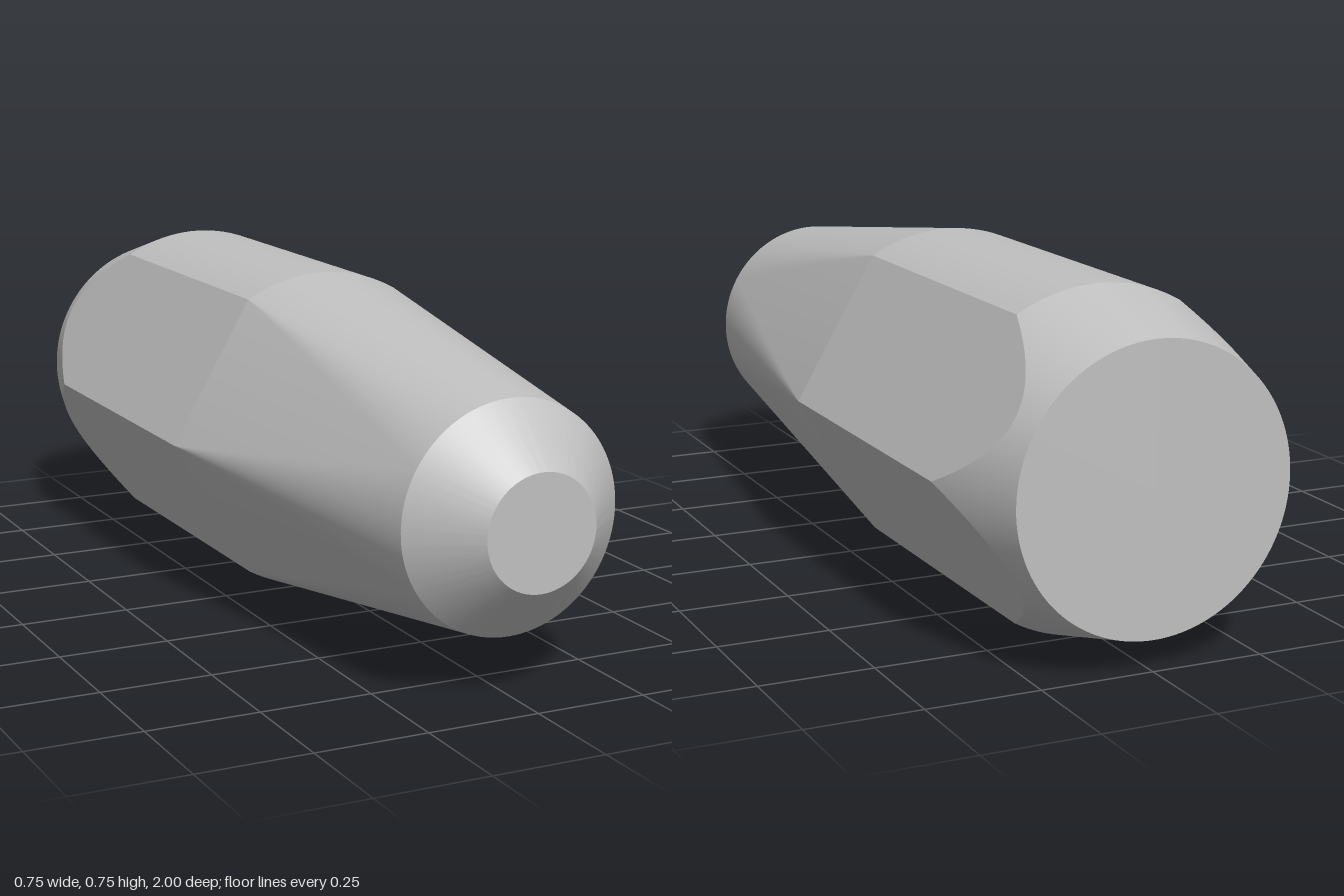
import * as THREE from 'three';
import { toCreasedNormals } from 'three/addons/utils/BufferGeometryUtils.js';

const STEP = 3;                       // degrees between section points
const R = 0.375;                      // body radius
const FLAT = R * Math.cos(Math.PI / 6); // distance of the flats from the axis
const TIP_R = 0.25, NOSE_R = 0.125;
const SLOPE = Math.tan(Math.PI / 12); // rear chamfer, 15 degrees
const END_R = R - 0.25 * SLOPE;

const rad = THREE.MathUtils.degToRad;
const polar = (deg, r, z) => new THREE.Vector3(r * Math.cos(rad(deg)), r * Math.sin(rad(deg)), z);
const angles = Array.from({ length: 360 / STEP + 1 }, (_, i) => i * STEP);
const ring = (r, z) => angles.map((a) => polar(a, r, z));

// The top and bottom are round; the four sides are flat chords of 60 degrees.
function bodyRadius(deg) {
  const round = (deg >= 60 && deg <= 120) || (deg >= 240 && deg <= 300);
  return round ? R : FLAT / Math.cos(rad((deg % 60) - 30));
}

// Skin between a front and a back row of points, skipping empty triangles.
function skin(front, back, crease) {
  const pos = [];
  const tri = (a, b, c) => {
    if (a.distanceTo(b) < 1e-6 || b.distanceTo(c) < 1e-6 || a.distanceTo(c) < 1e-6) return;
    for (const p of [a, b, c]) pos.push(p.x, p.y, p.z);
  };
  for (let i = 0; i + 1 < front.length; i++) {
    tri(front[i], back[i], back[i + 1]);
    tri(front[i], back[i + 1], front[i + 1]);
  }
  const geo = new THREE.BufferGeometry();
  geo.setAttribute('position', new THREE.Float32BufferAttribute(pos, 3));
  return toCreasedNormals(geo, crease);
}

// Taper: corners fan out to arcs of the tip, flats narrow to single points on it.
function taperGeometry() {
  const front = [], back = [];
  const corners = [0, 60, 120, 180, 240, 300, 360];
  const add = (tipDeg, bodyDeg) => {
    front.push(polar(tipDeg, TIP_R, 0.875));
    back.push(polar(bodyDeg, R, 0));
  };
  for (const a of angles) {
    const sector = Math.floor(a / 60) % 3;
    if (sector === 1) add(a, a);                       // round top and bottom
    else if (a % 60 === 30) {                          // middle of a flat
      add(a, a - 30);
      add(a, a + 30);
    } else add(a, corners[Math.round(a / 60)]);        // corner fan
  }
  return skin(front, back, 0.15);
}

export function createModel() {
  const model = new THREE.Group();
  const grey = new THREE.MeshStandardMaterial({ color: 0xc0c0c0 });
  grey.name = 'grey';
  const add = (name, geometry) => {
    const mesh = new THREE.Mesh(geometry, grey);
    mesh.name = name;
    mesh.position.y = R;
    model.add(mesh);
    return mesh;
  };

  // Body section, and the curved line where its flats run into the rear chamfer
  const bodyFront = angles.map((a) => polar(a, bodyRadius(a), 0));
  const bodyBack = angles.map((a) => {
    const r = bodyRadius(a);
    return polar(a, r, -0.75 - (R - r) / SLOPE);
  });

  add('noseCone', skin(ring(NOSE_R, 1), ring(TIP_R, 0.875), 0.3));
  add('taper', taperGeometry());
  add('body', skin(bodyFront, bodyBack, 0.3));
  add('rearChamfer', skin(bodyBack, ring(END_R, -1), 0.3));

  // End faces
  add('noseFace', new THREE.CircleGeometry(NOSE_R, 360 / STEP)).position.z = 1;
  const rear = add('rearFace', new THREE.CircleGeometry(END_R, 360 / STEP));
  rear.position.z = -1;
  rear.rotation.y = Math.PI;

  return model;
}
